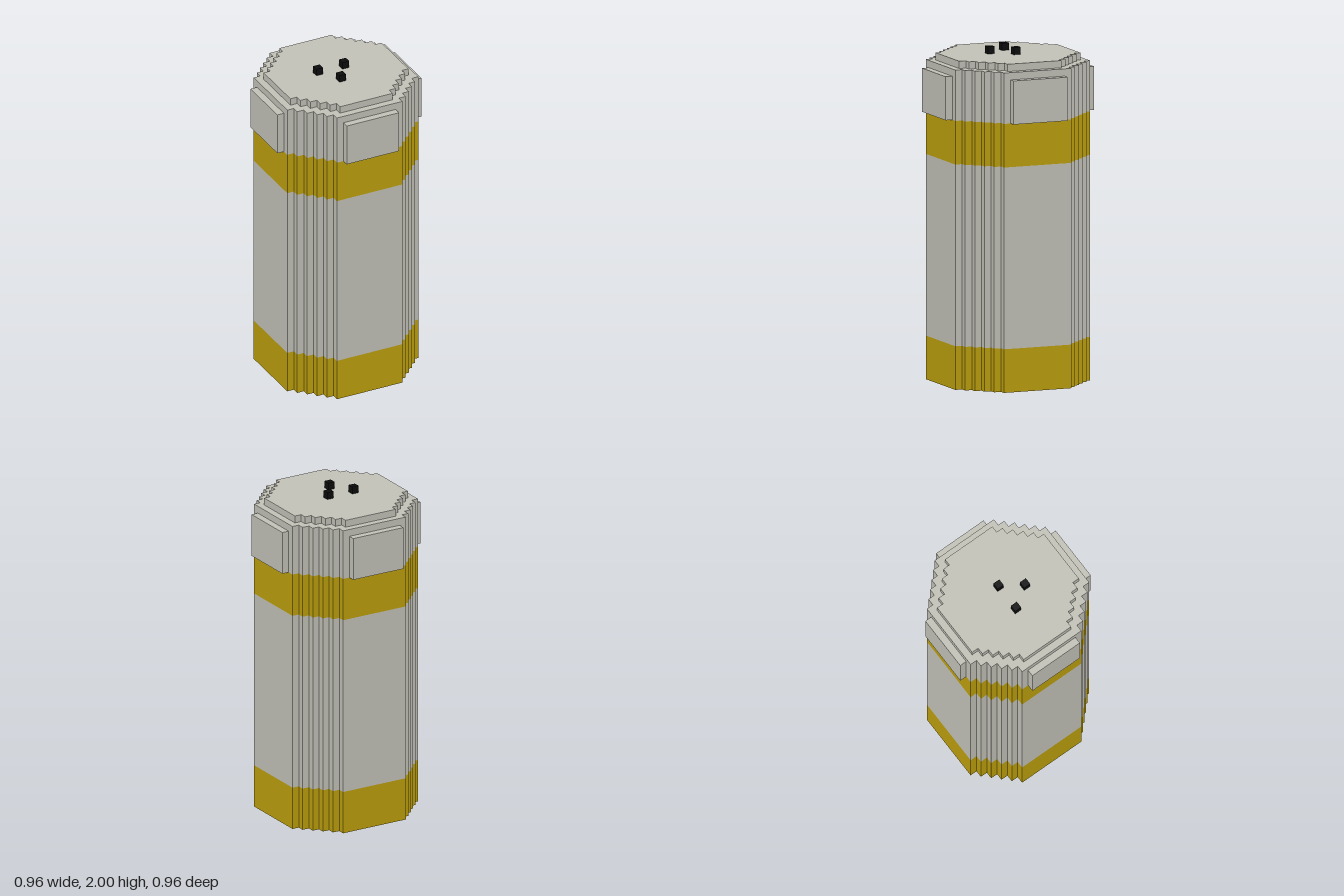
import * as THREE from 'three';

const U = 2 / 46; // one block step

const casing = new THREE.MeshStandardMaterial({ color: 0xc3c2b8 });
casing.name = 'pale grey casing';
const band = new THREE.MeshStandardMaterial({ color: 0xbc9f0d });
band.name = 'mustard band';
const black = new THREE.MeshStandardMaterial({ color: 0x0d0d0d });
black.name = 'black pins';

// Octagon with stair-stepped diagonals: flat half-width a, outer half-width r
function steppedOctagon(a, r) {
  const corner = [];
  for (let x = r, y = a; x >= a; x--, y++) {
    corner.push([x, y]);
    if (x > a) corner.push([x - 1, y]);
  }
  const points = [];
  for (let q = 0; q < 4; q++) {
    for (const [x, y] of corner) {
      const [px, py] = [[x, y], [-y, x], [-x, -y], [y, -x]][q];
      points.push(new THREE.Vector2(px * U, py * U));
    }
  }
  return new THREE.Shape(points);
}

// Upright prism between two heights, in steps
function prism(name, a, r, y0, y1, material) {
  const geometry = new THREE.ExtrudeGeometry(steppedOctagon(a, r), {
    depth: (y1 - y0) * U, bevelEnabled: false,
  });
  geometry.rotateX(-Math.PI / 2);
  geometry.translate(0, y0 * U, 0);
  const mesh = new THREE.Mesh(geometry, material);
  mesh.name = name;
  return mesh;
}

// Block given by its size and centre, in steps
function block(name, size, centre, material) {
  const mesh = new THREE.Mesh(new THREE.BoxGeometry(...size.map((s) => s * U)), material);
  mesh.position.set(...centre.map((c) => c * U));
  mesh.name = name;
  return mesh;
}

export function createModel() {
  const model = new THREE.Group();
  model.name = 'canister';

  // Stacked body sections
  model.add(
    prism('lowerBand', 5, 10, 0, 6, band),
    prism('body', 5, 10, 6, 31, casing),
    prism('upperBand', 5, 10, 31, 37, band),
    prism('head', 5, 10, 37, 44, casing),
    prism('lid', 4, 9, 44, 45, casing),
  );

  // Raised panels on the four sides of the head
  for (const s of [-1, 1]) {
    model.add(
      block(s > 0 ? 'frontPanel' : 'backPanel', [8, 6, 1], [0, 40, s * 10.5], casing),
      block(s > 0 ? 'leftPanel' : 'rightPanel', [1, 6, 8], [s * 10.5, 40, 0], casing),
    );
  }

  // Contact pins on the lid
  for (const [x, z] of [[-2.5, -0.5], [1.5, -0.5], [-0.5, 2.5]]) {
    model.add(block('pin', [1, 1, 1], [x, 45.5, z], black));
  }
  return model;
}
